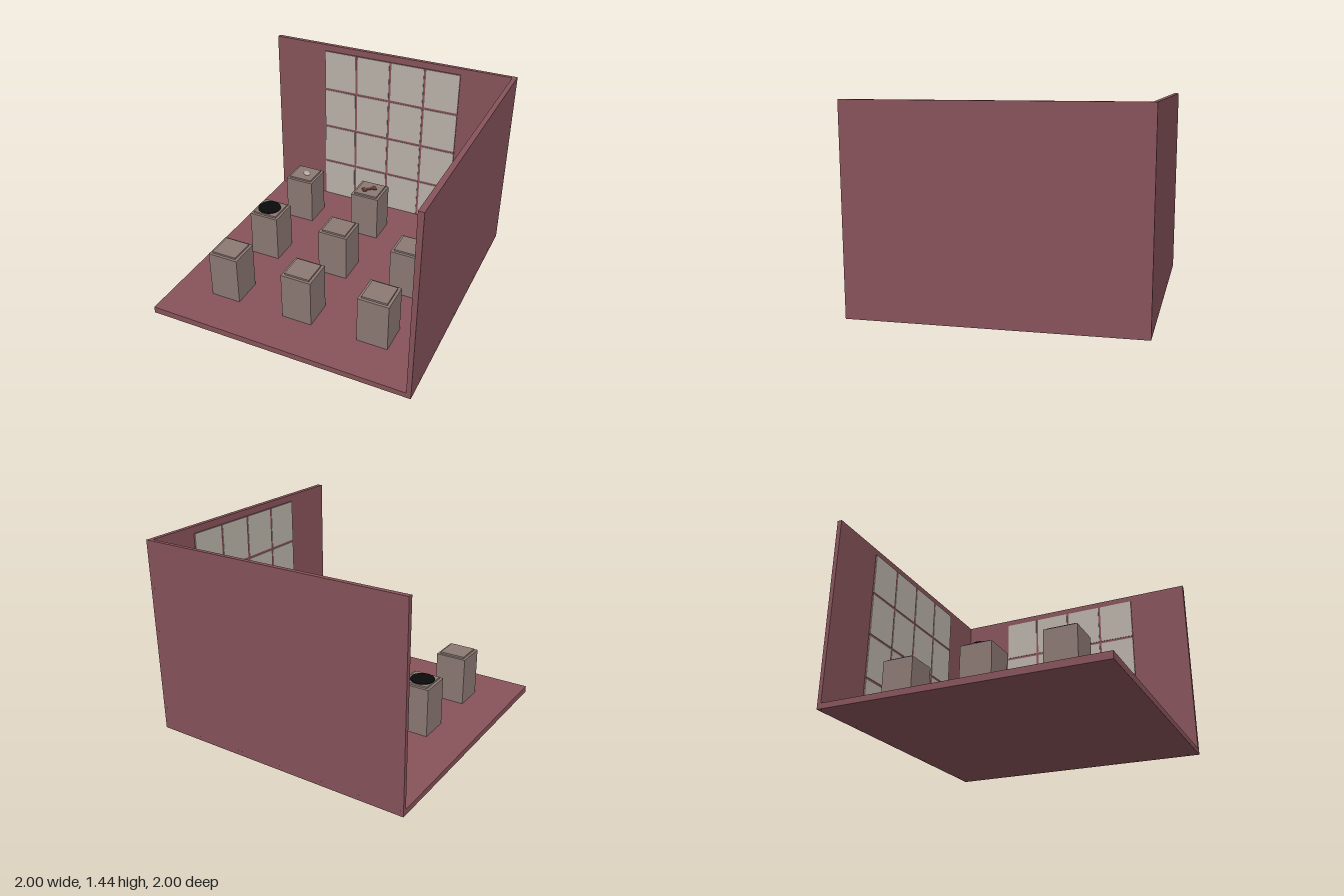
import * as THREE from 'three';

const mat = (name, color) => {
  const m = new THREE.MeshStandardMaterial({ color });
  m.name = name;
  return m;
};

export function createModel() {
  const room = new THREE.Group();
  room.name = 'galleryRoom';
  const wall = mat('dustyRed', 0x87535a);
  const pane = mat('paleGlass', 0xbab2a8);
  const stone = mat('pedestalTaupe', 0x8c7973);
  const black = mat('black', 0x0b0b0b);
  const brown = mat('brown', 0x613e36);

  const add = (parent, name, geometry, material, x = 0, y = 0, z = 0) => {
    const mesh = new THREE.Mesh(geometry, material);
    mesh.name = name;
    mesh.position.set(x, y, z);
    parent.add(mesh);
    return mesh;
  };

  // Box between two corners; outer faces lean in slightly towards the shared corner
  const slab = (name, a, b) => {
    const g = new THREE.BoxGeometry(b[0] - a[0], b[1] - a[1], b[2] - a[2]);
    g.translate((a[0] + b[0]) / 2, (a[1] + b[1]) / 2, (a[2] + b[2]) / 2);
    const p = g.attributes.position;
    for (let i = 0; i < p.count; i++) {
      const x = p.getX(i), y = p.getY(i), z = p.getZ(i);
      const right = (x + 1) / 2, low = 1 - y / 1.44, back = (1 - z) / 2;
      if (x > 0.99) p.setX(i, 1 - 0.007 * (low + back));
      if (y < 0.01) p.setY(i, 0.01 * (right + back));
      if (z < -0.99) p.setZ(i, -1 + 0.007 * (right + low));
    }
    g.computeVertexNormals();
    add(room, name, g, wall);
  };
  slab('floor', [-1, 0, -1], [1, 0.05, 1]);
  slab('backWall', [-1, 0, -1], [1, 1.44, -0.965]);
  slab('rightWall', [0.96, 0, -1], [1, 1.44, 1]);

  // Four by four window: thin backing with separate panes
  const makeWindow = (name) => {
    const g = new THREE.Group();
    g.name = name;
    add(g, 'windowFrame', new THREE.BoxGeometry(1.135, 1.335, 0.008), wall, 0, 0.722, 0.004);
    for (let row = 0; row < 4; row++) {
      for (let col = 0; col < 4; col++) {
        add(g, 'windowPane', new THREE.BoxGeometry(0.27, 0.318, 0.005), pane,
          (col - 1.5) * 0.288, 0.217 + row * 0.337, 0.0095);
      }
    }
    room.add(g);
    return g;
  };
  makeWindow('backWindow').position.set(0.003, 0, -0.965);
  const side = makeWindow('sideWindow');
  side.rotation.y = -Math.PI / 2;
  side.position.set(0.96, 0, -0.012);

  // Three by three pedestals with raised caps
  for (const x of [-0.585, 0.003, 0.585]) {
    for (const z of [-0.605, -0.015, 0.57]) {
      const g = new THREE.Group();
      g.name = 'pedestal';
      add(g, 'pedestalBody', new THREE.BoxGeometry(0.23, 0.366, 0.23), stone, 0, 0.232, 0);
      add(g, 'pedestalCap', new THREE.BoxGeometry(0.19, 0.014, 0.19), stone, 0, 0.421, 0);
      g.position.set(x, 0, z);
      room.add(g);
    }
  }

  // Small exhibits lying on the pedestals
  const top = 0.43;
  const pebble = add(room, 'pebble', new THREE.SphereGeometry(0.035, 12, 8), pane, -0.572, top, -0.605);
  pebble.scale.set(1.1, 0.22, 0.75);
  pebble.rotation.y = -0.8;

  const bone = new THREE.Group();
  bone.name = 'bone';
  add(bone, 'boneShaft', new THREE.BoxGeometry(0.085, 0.008, 0.03), brown);
  for (const s of [-1, 1]) {
    for (const t of [-1, 1]) {
      add(bone, 'boneKnob', new THREE.CylinderGeometry(0.018, 0.018, 0.008, 10), brown, s * 0.043, 0, t * 0.013);
    }
  }
  bone.position.set(-0.002, top, -0.603);
  bone.rotation.y = 0.7;
  room.add(bone);

  const tablet = add(room, 'tablet', new THREE.BoxGeometry(0.165, 0.008, 0.115), black, 0.58, top, -0.605);
  tablet.rotation.y = -0.85;
  add(room, 'disc', new THREE.CylinderGeometry(0.088, 0.088, 0.008, 24), black, -0.594, top, -0.015);

  return room;
}
